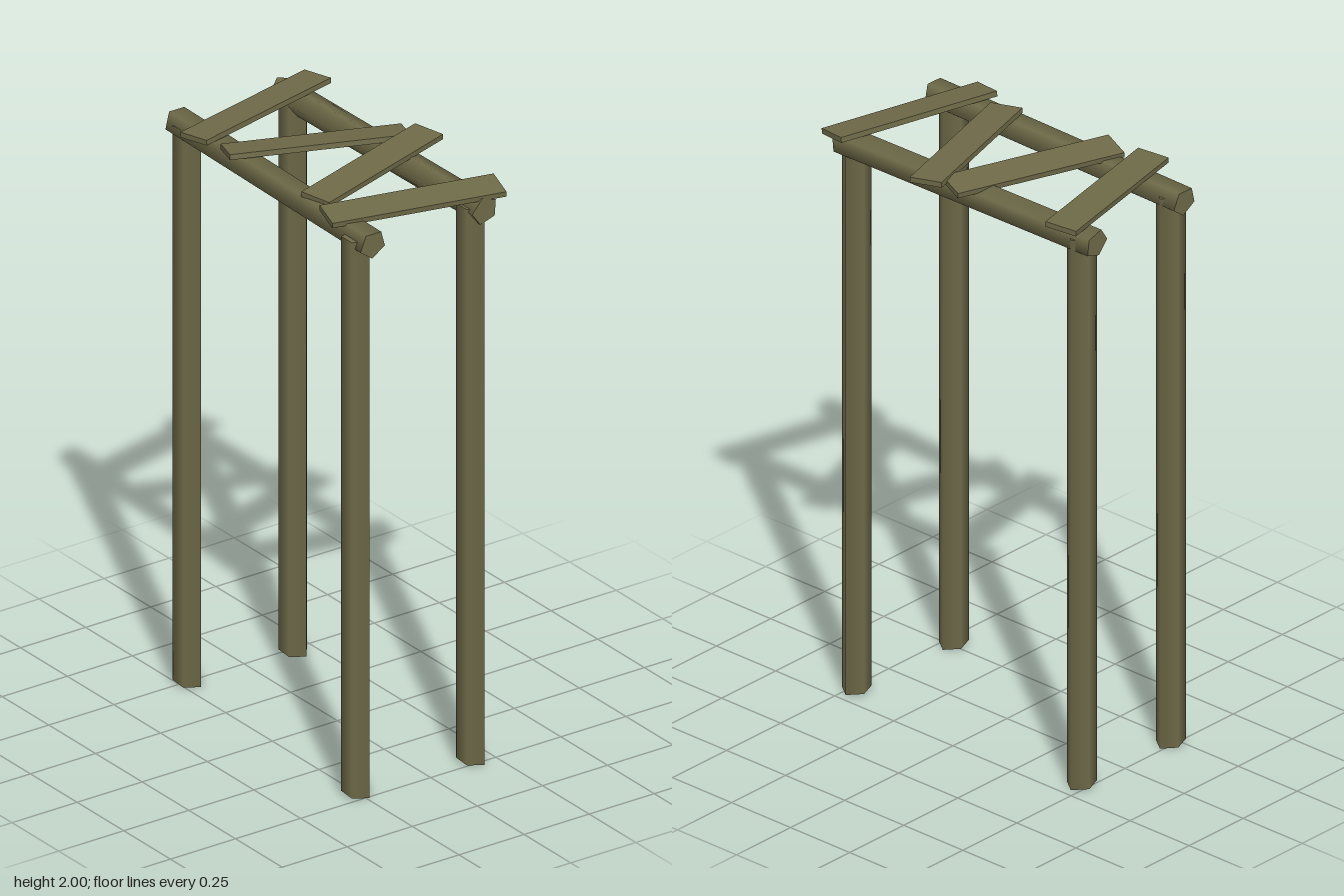
import * as THREE from 'three';

export function createModel() {
  const model = new THREE.Group();
  const wood = new THREE.MeshStandardMaterial({ color: 0x6e6a48 });
  wood.name = 'weatheredWood';
  const R = 0.049;

  // Five-sided log along y with obliquely cut ends; roll places one ridge
  function logGeometry(length, roll, bottomCut, topCut) {
    const geo = new THREE.CylinderGeometry(R, R, length, 5, 1, false, roll);
    const p = geo.attributes.position;
    for (let i = 0; i < p.count; i++) {
      const y = p.getY(i);
      const cut = y < 0 ? bottomCut : topCut;
      p.setY(i, y + cut[0] * p.getX(i) + cut[1] * p.getZ(i));
    }
    return geo;
  }

  function add(name, geo, x, y, z) {
    const mesh = new THREE.Mesh(geo, wood);
    mesh.name = name;
    mesh.position.set(x, y, z);
    model.add(mesh);
    return mesh;
  }

  // Four upright posts, ridge facing +x
  const posts = [
    ['frontRightPost', -0.256, 0.461],
    ['backRightPost', -0.221, -0.49],
    ['frontLeftPost', 0.174, 0.478],
    ['backLeftPost', 0.174, -0.475],
  ];
  for (const [name, x, z] of posts) {
    add(name, logGeometry(1.93, Math.PI / 2, [-0.1, -0.08], [0, 0]), x, 0.973, z);
  }

  // Two slightly skewed beams lying on the posts
  const beams = [
    ['rightBeam', [-0.24, 0.525], [-0.22, -0.55], 0],
    ['leftBeam', [0.187, 0.53], [0.174, -0.54], -Math.PI / 2],
  ];
  for (const [name, a, b, roll] of beams) {
    const dx = a[0] - b[0], dz = a[1] - b[1];
    const geo = logGeometry(Math.hypot(dx, dz), roll, [0, 0.1], [0, -0.1]);
    geo.rotateX(Math.PI / 2);
    geo.rotateY(Math.atan2(dx, dz));
    add(name, geo, (a[0] + b[0]) / 2, 1.929, (a[1] + b[1]) / 2);
  }

  // Loose planks: centre, yaw, slope along the length, roll
  const planks = [
    [-0.03, 1.983, -0.396, 0.224, 0.008, -0.06],
    [-0.012, 1.976, -0.1, -0.353, -0.008, -0.12],
    [0.028, 1.98, 0.147, 0.296, 0.02, 0.05],
    [-0.016, 1.98, 0.427, -0.242, 0.008, 0.13],
  ];
  planks.forEach(([x, y, z, yaw, slope, roll], i) => {
    const plank = add('plank' + (i + 1), new THREE.BoxGeometry(0.585, 0.018, 0.11), x, y, z);
    plank.rotation.set(roll, yaw, slope, 'YZX');
  });

  return model;
}
